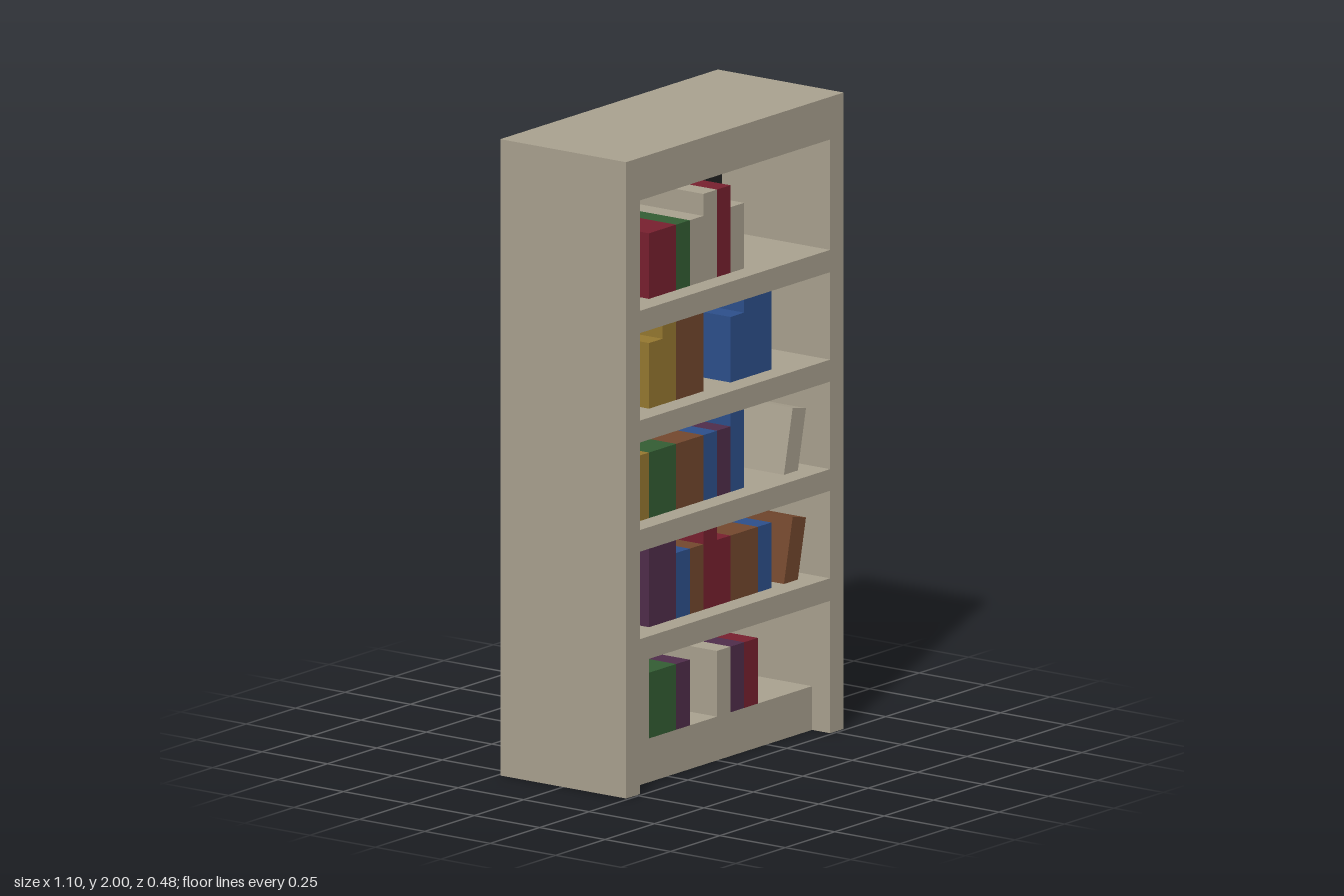
import * as THREE from 'three';

const mat = (name, color) => {
  const m = new THREE.MeshStandardMaterial({ color });
  m.name = name;
  return m;
};

export function createModel() {
  const M = {
    beige: mat('beige wood', 0xaaa290),
    dark: mat('dark backing', 0x222222),
    red: mat('red cover', 0x78202f),
    green: mat('green cover', 0x345e34),
    blue: mat('blue cover', 0x2d508c),
    yellow: mat('yellow cover', 0x967830),
    brown: mat('brown cover', 0x74482e),
    purple: mat('purple cover', 0x502d4b),
  };
  const model = new THREE.Group();
  model.name = 'bookcase';

  const U = 0.06875;              // one book slot
  const W = 8 * U, IN = 7 * U;    // outer and inner half widths
  const D = 3.5 * U, ID = 2.5 * U; // outer and recessed half depths

  // Box given by its lower and upper limits on each axis
  function box(parent, name, material, x0, x1, y0, y1, z0, z1) {
    const mesh = new THREE.Mesh(new THREE.BoxGeometry(x1 - x0, y1 - y0, z1 - z0), material);
    mesh.position.set((x0 + x1) / 2, (y0 + y1) / 2, (z0 + z1) / 2);
    mesh.name = name;
    parent.add(mesh);
    return mesh;
  }

  // Case: sides, top, recessed base and backing
  box(model, 'leftSide', M.beige, IN, W, 0, 2, -D, D);
  box(model, 'rightSide', M.beige, -W, -IN, 0, 2, -D, D);
  box(model, 'top', M.beige, -IN, IN, 1.866, 2, -D, D);
  box(model, 'base', M.beige, -IN, IN, 0, 0.1375, -D, ID);
  box(model, 'backPanel', M.dark, -IN, IN, 0.1375, 1.866, -D, -ID);

  // Shelves: underside and upper face
  [[0.416, 0.487], [0.762, 0.83], [1.105, 1.174], [1.449, 1.519]].forEach(([y0, y1], i) =>
    box(model, `shelf${i + 1}`, M.beige, -IN, IN, y0, y1, -ID, D));

  // Books by row: floor height, then [colour, first slot, last slot, top]
  const rows = [
    [0.1375, [['beige', -7, -5, 0.416], ['green', -5, -3, 0.344], ['purple', -3, -2, 0.344],
      ['beige', 0, 1, 0.344], ['purple', 1, 2, 0.344], ['red', 2, 3, 0.344]]],
    [0.487, [['beige', -7, -6, 0.693], ['purple', -5, -3, 0.762], ['blue', -3, -2, 0.693],
      ['brown', -2, -1, 0.693], ['red', -1, 0, 0.762], ['red', 0, 1, 0.693],
      ['brown', 1, 3, 0.693], ['blue', 3, 4, 0.693]]],
    [0.83, [['red', -7, -6, 1.036], ['yellow', -6, -5, 1.036], ['green', -5, -3, 1.036],
      ['brown', -3, -1, 1.036], ['blue', -1, 0, 1.036], ['purple', 0, 1, 1.036],
      ['blue', 1, 2, 1.105]]],
    [1.174, [['green', -7, -6, 1.449], ['yellow', -5, -4, 1.38], ['yellow', -4, -3, 1.449],
      ['brown', -3, -1, 1.449], ['blue', 1, 2, 1.38], ['blue', 2, 4, 1.449]]],
    [1.519, [['purple', -7, -6, 1.725], ['red', -5, -3, 1.725], ['green', -3, -2, 1.725],
      ['beige', -2, -1, 1.725], ['beige', -1, 0, 1.794], ['red', 0, 1, 1.794],
      ['beige', 1, 2, 1.725]]],
  ];
  rows.forEach(([floor, books], i) => {
    const row = new THREE.Group();
    row.name = `bookRow${i + 1}`;
    for (const [color, a, b, top] of books)
      box(row, `${color}Book`, M[color], a * U, b * U, floor, top, -ID, ID);
    model.add(row);
  });

  // Books leaning to the side, their lower corner sunk into the shelf
  for (const [color, floor] of [['brown', 0.487], ['beige', 0.83]]) {
    const book = box(model, `${color}LeaningBook`, M[color],
      0.394 - U / 2, 0.394 + U / 2, floor - 0.013, floor + 0.197, -ID, ID);
    book.rotation.z = -0.216;
  }
  return model;
}
